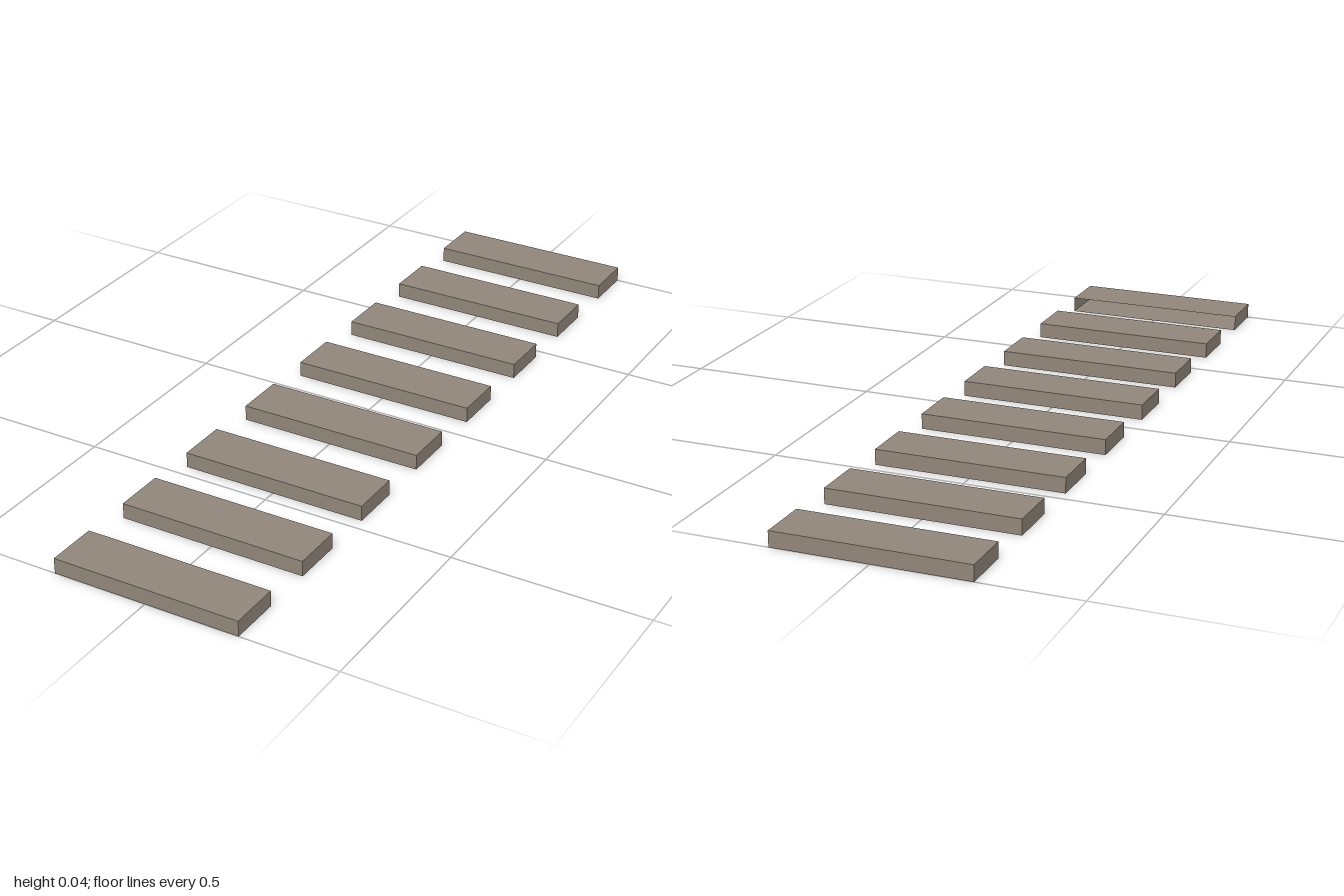
import * as THREE from 'three';

const WIDTH = 0.492, HEIGHT = 0.04, DEPTH = 0.133, COUNT = 8;

export function createModel() {
  const model = new THREE.Group();
  model.name = 'plankWalkway';
  const wood = new THREE.MeshStandardMaterial({ color: 0x92877b, side: THREE.DoubleSide });
  wood.name = 'weatheredWood';

  const plank = new THREE.BoxGeometry(WIDTH, HEIGHT, DEPTH);

  // The front plank is hollow: its back face, the last six indices, is left open
  const openPlank = plank.clone();
  openPlank.setIndex(Array.from(plank.index.array).slice(0, 30));
  openPlank.clearGroups();

  // Evenly spaced planks from back to front
  const firstZ = -1 + DEPTH / 2;
  const pitch = (2 - DEPTH) / (COUNT - 1);
  for (let i = 0; i < COUNT; i++) {
    const mesh = new THREE.Mesh(i === COUNT - 1 ? openPlank : plank, wood);
    mesh.name = `plank${i + 1}`;
    mesh.position.set(0, HEIGHT / 2, firstZ + i * pitch);
    model.add(mesh);
  }
  return model;
}
